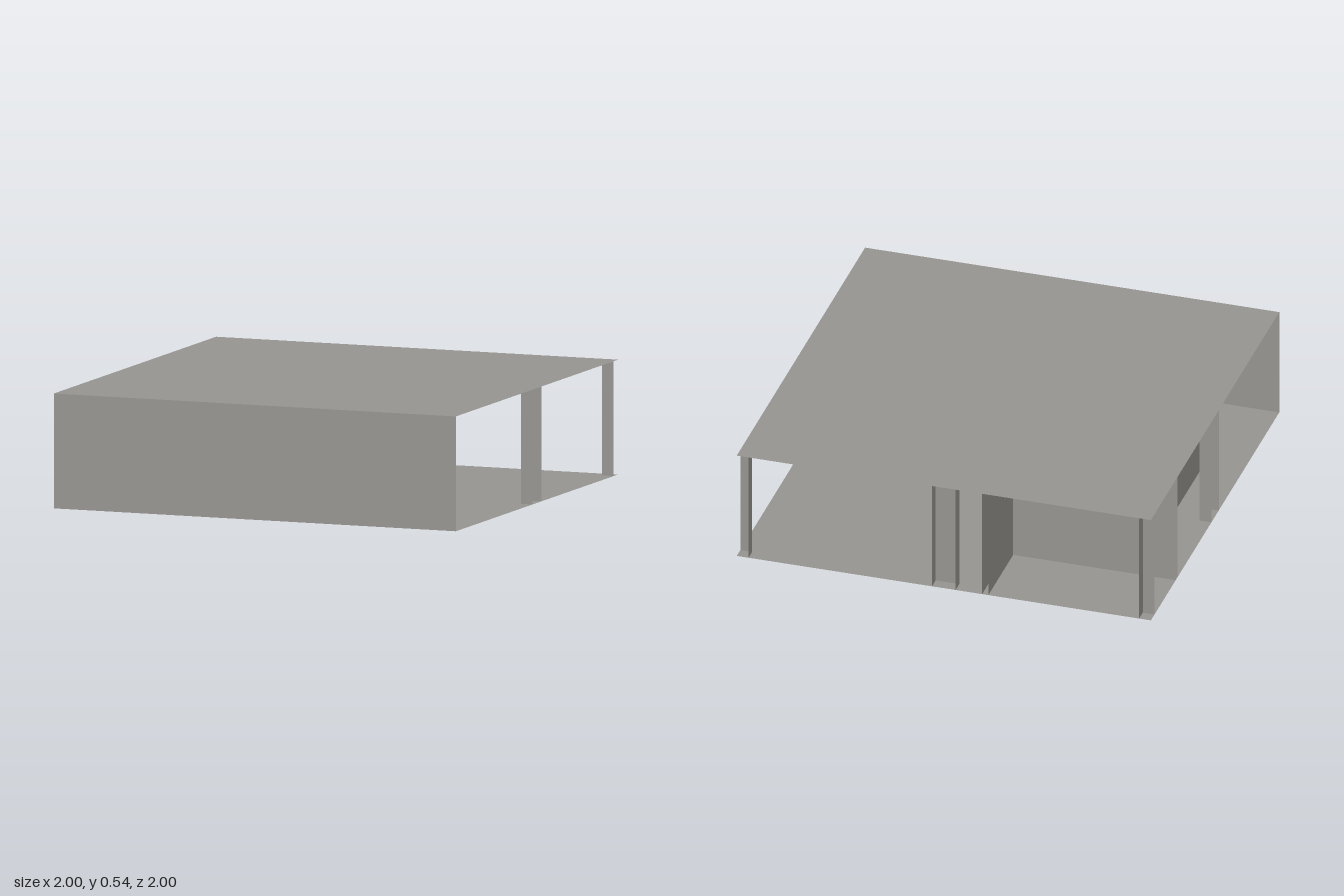
import * as THREE from 'three';
import { mergeGeometries } from 'three/addons/utils/BufferGeometryUtils.js';

const H = 0.535;  // storey height
const C = 0.057;  // column depth and half width

const concrete = new THREE.MeshStandardMaterial({ color: 0x969490, side: THREE.DoubleSide });
concrete.name = 'warm grey concrete';

// Upright sheets following a plan path of [x, z] points
function sheets(name, path) {
  const parts = [];
  for (let i = 0; i < path.length - 1; i++) {
    const [x0, z0] = path[i], [x1, z1] = path[i + 1];
    const g = new THREE.PlaneGeometry(Math.hypot(x1 - x0, z1 - z0), H);
    g.rotateY(-Math.atan2(z1 - z0, x1 - x0));
    g.translate((x0 + x1) / 2, H / 2, (z0 + z1) / 2);
    parts.push(g);
  }
  const mesh = new THREE.Mesh(mergeGeometries(parts), concrete);
  mesh.name = name;
  return mesh;
}

// Horizontal slab covering the whole plan
function slab(name, y, tilt) {
  const mesh = new THREE.Mesh(new THREE.PlaneGeometry(2, 2).rotateX(tilt), concrete);
  mesh.name = name;
  mesh.position.y = y;
  return mesh;
}

export function createModel() {
  const group = new THREE.Group();
  group.name = 'pavilion';

  // Floor, roof and closed front
  group.add(slab('floor', 0, Math.PI / 2), slab('roof', H, -Math.PI / 2));
  group.add(sheets('frontWall', [[-1, 1], [1, 1]]));

  // Columns on the open sides: channels at mid-span, angles at the back corners
  const e = 1 - C;
  for (const s of [-1, 1]) {
    group.add(sheets('sideColumn', [[s, C], [s * e, C], [s * e, -C], [s, -C]]));
    group.add(sheets('cornerColumn', [[s, -e], [s * e, -e], [s * e, -1]]));
  }
  group.add(sheets('backColumn', [[C, -1], [C, -e], [-C, -e], [-C, -1]]));

  // Corner room with inner and outer wall skins, open to the outside
  group.add(sheets('roomOuterWall', [[-0.185, -1], [-0.185, -0.588], [-1, -0.588]]));
  group.add(sheets('roomInnerWall', [[-0.215, -1], [-0.215, -0.613], [-1, -0.613]]));

  // Enclosed core inside the hall
  group.add(sheets('coreWalls',
    [[-0.81, -0.21], [-0.81, 0.412], [-0.185, 0.412], [-0.185, -0.21], [-0.81, -0.21]]));

  return group;
}
